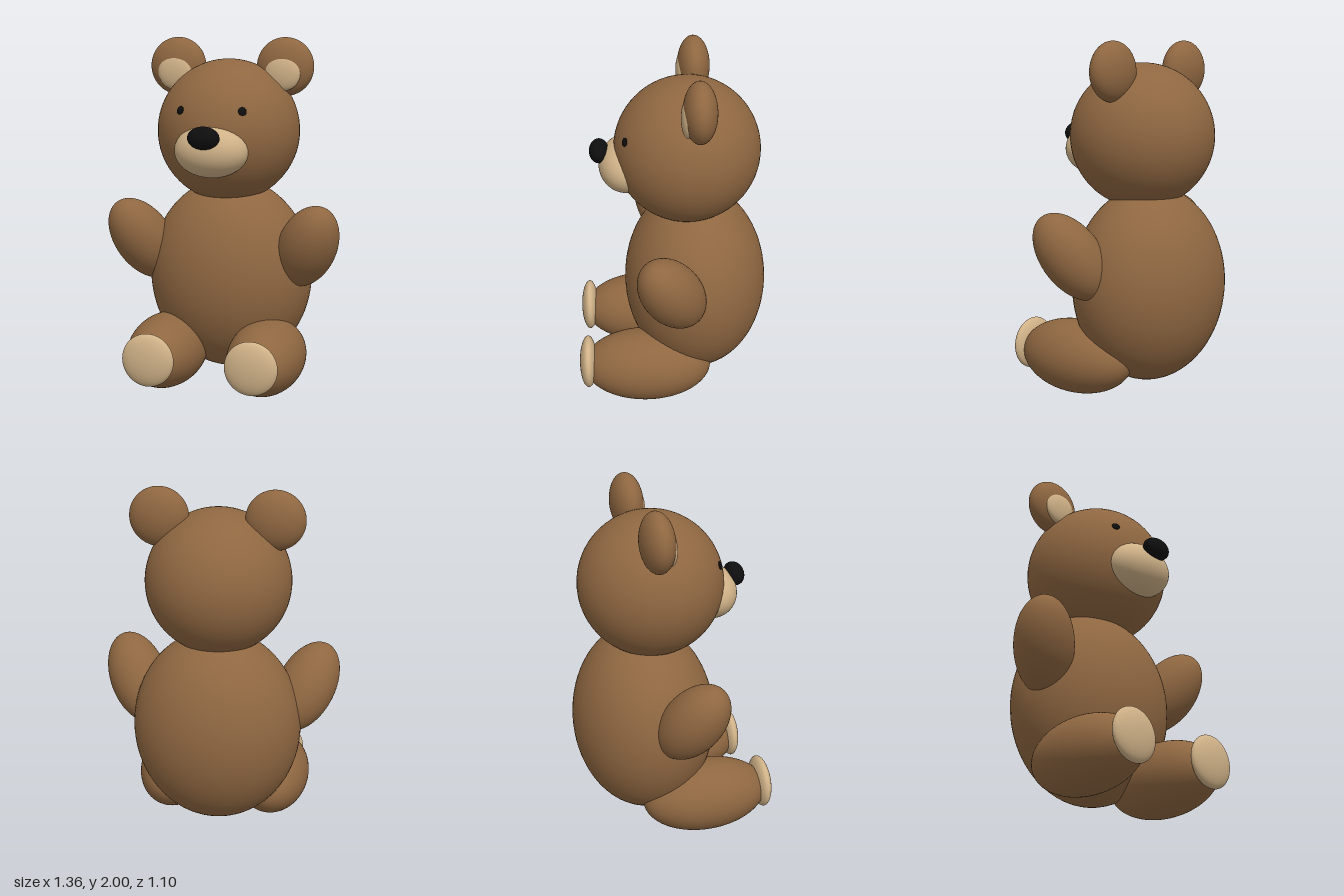
import * as THREE from 'three';

const colour = (name, hex) => {
  const m = new THREE.MeshStandardMaterial({ color: hex });
  m.name = name;
  return m;
};

export function createModel() {
  const brown = colour('brown fur', 0x8f6741);
  const tan = colour('tan fur', 0xd0b288);
  const black = colour('black', 0x0e0e0e);

  const group = new THREE.Group();
  group.name = 'teddyBear';
  const ball = new THREE.SphereGeometry(1, 64, 40);
  const up = new THREE.Vector3(0, 1, 0);

  // Smooth ellipsoid; axis turns its local y to a given direction
  function blob(name, material, centre, radii, axis) {
    const mesh = new THREE.Mesh(ball, material);
    mesh.name = name;
    mesh.position.set(...centre);
    mesh.scale.set(...radii);
    if (axis) mesh.quaternion.setFromUnitVectors(up, new THREE.Vector3(...axis).normalize());
    group.add(mesh);
  }

  // The same ellipsoid on both sides of the model
  function pair(name, material, [x, y, z], radii, axis) {
    for (const [side, s] of [['left', 1], ['right', -1]]) {
      blob(side + name, material, [s * x, y, z], radii, axis && [s * axis[0], axis[1], axis[2]]);
    }
  }

  // Torso and head
  blob('body', brown, [0, 0.63, -0.14], [0.48, 0.56, 0.41]);
  blob('head', brown, [0, 1.47, -0.09], [0.41, 0.41, 0.41]);

  // Face
  blob('muzzle', tan, [0, 1.383, 0.25], [0.21, 0.15, 0.155]);
  blob('nose', black, [0, 1.465, 0.4], [0.09, 0.063, 0.055]);
  pair('Eye', black, [0.178, 1.603, 0.256], [0.024, 0.008, 0.024], [0.178, 0.133, 0.346]);

  // Ears with pale linings
  pair('Ear', brown, [0.32, 1.835, -0.14], [0.166, 0.166, 0.092]);
  pair('InnerEar', tan, [0.32, 1.802, -0.075], [0.103, 0.103, 0.036]);

  // Raised arms, reaching outward and forward
  pair('Arm', brown, [0.492, 0.83, 0.014], [0.167, 0.277, 0.167], [0.404, 0.807, 0.431]);

  // Seated legs with pale foot pads
  pair('Leg', brown, [0.295, 0.212, 0.152], [0.215, 0.21, 0.37]);
  pair('FootPad', tan, [0.295, 0.235, 0.495], [0.15, 0.15, 0.05]);

  return group;
}
